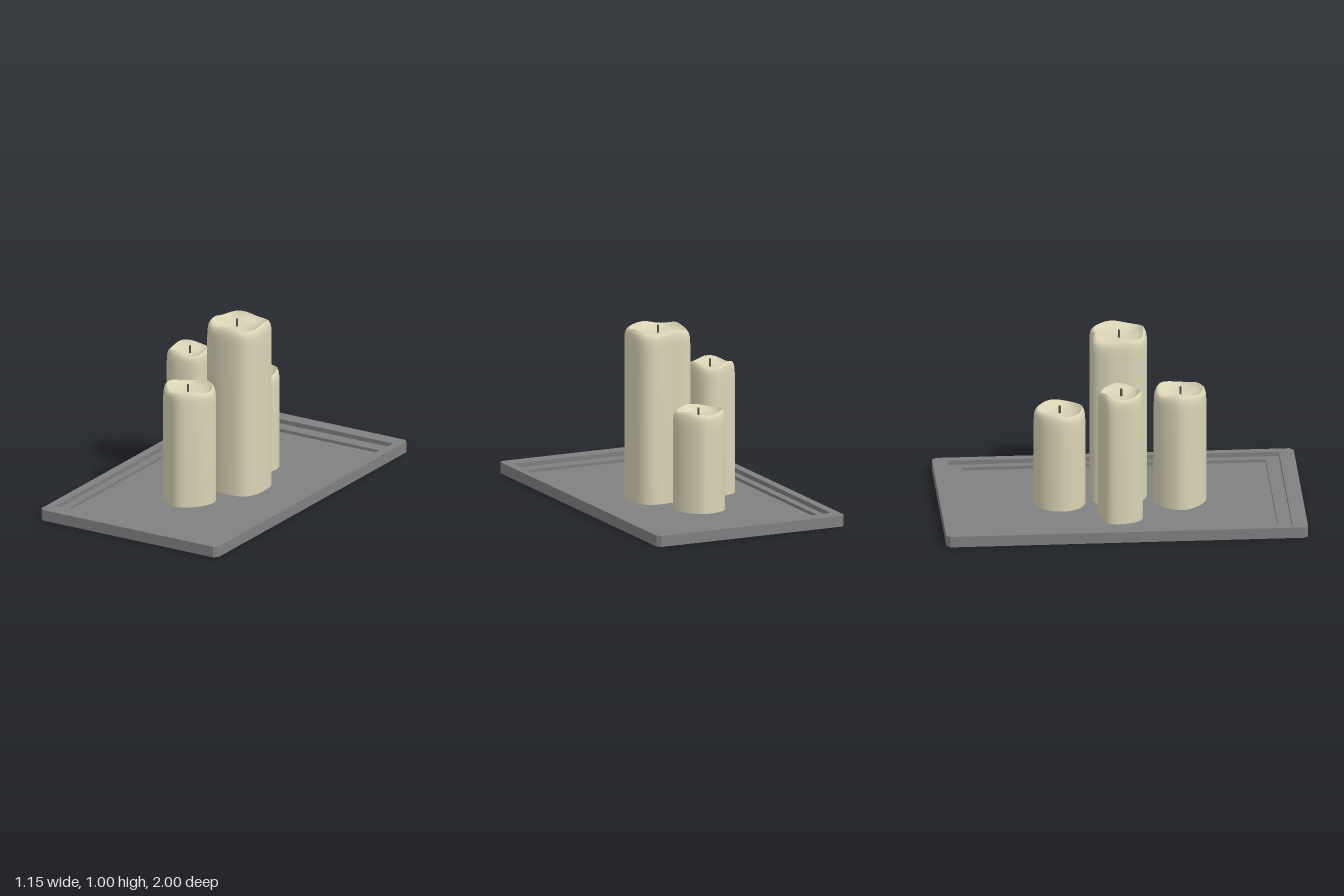
import * as THREE from 'three';
import { toCreasedNormals } from 'three/addons/utils/BufferGeometryUtils.js';

const FLOOR = 0.02; // height of the tray's inner panel

// Skins a stack of closed loops (arrays of Vector3, all the same length)
function loft(loops) {
  const n = loops[0].length;
  const index = [];
  for (let i = 0; i < loops.length - 1; i++) {
    for (let j = 0; j < n; j++) {
      const k = (j + 1) % n;
      const a = i * n + j, b = i * n + k, c = a + n, d = b + n;
      index.push(a, c, b, b, c, d);
    }
  }
  const geometry = new THREE.BufferGeometry().setFromPoints(loops.flat());
  geometry.setIndex(index);
  return geometry;
}

// Rectangle of half size w x d with cut corners c, at height y
function rectLoop([w, d, c, y]) {
  return [
    [w, -d + c], [w, d - c], [w - c, d], [-w + c, d],
    [-w, d - c], [-w, -d + c], [-w + c, -d], [w - c, -d],
  ].map(([x, z]) => new THREE.Vector3(x, y, z));
}

function createTray() {
  // Underside, outer wall, rim, ledge, inner panel
  const geometry = loft([
    [0, 0, 0, 0],
    [0.575, 1, 0.022, 0],
    [0.575, 1, 0.022, 0.062],
    [0.528, 0.915, 0, 0.062],
    [0.528, 0.915, 0, 0.037],
    [0.485, 0.84, 0, 0.037],
    [0.485, 0.84, 0, FLOOR],
    [0, 0, 0, FLOOR],
  ].map(rectLoop));
  const tray = new THREE.Mesh(
    toCreasedNormals(geometry, 0.3),
    new THREE.MeshStandardMaterial({ color: 0x808080 }),
  );
  tray.name = 'tray';
  return tray;
}

// Side, rounded shoulder, rim and melted bowl: [scale, offset from top, share of rim wave]
const PROFILE = [
  [1, -0.09, 0], [0.99, -0.05, 0.2], [0.965, -0.025, 0.5], [0.92, -0.008, 0.8],
  [0.86, 0, 1], [0.81, -0.008, 0.9], [0.68, -0.023, 0.5], [0.4, -0.034, 0.1], [0, -0.038, 0],
];

const CANDLES = [
  {
    name: 'tallCandle', center: [0.085, 0], top: 0.992, lobes: 4, phase: 0.9, dip: 0.016,
    outline: [[-0.03, -0.15], [0.085, -0.155], [0.2, -0.15], [0.25, -0.09], [0.25, 0.085],
      [0.2, 0.145], [0.02, 0.145], [-0.053, 0.09], [-0.07, 0], [-0.065, -0.085]],
  },
  {
    name: 'leftCandle', center: [-0.228, -0.01], top: 0.77, lobes: 3, phase: 0.5, dip: 0.02,
    outline: [[-0.344, -0.085], [-0.275, -0.122], [-0.2, -0.137], [-0.143, -0.105], [-0.11, 0],
      [-0.132, 0.074], [-0.24, 0.11], [-0.317, 0.085], [-0.354, -0.01]],
  },
  {
    name: 'frontCandle', center: [-0.027, 0.333], top: 0.69, lobes: 3, phase: 3.1, dip: 0.018,
    outline: [[-0.02, 0.185], [0.063, 0.21], [0.116, 0.27], [0.122, 0.34], [0.063, 0.434],
      [-0.005, 0.476], [-0.09, 0.45], [-0.164, 0.37], [-0.172, 0.31], [-0.1, 0.206]],
  },
  {
    name: 'backCandle', center: [0, -0.333], top: 0.585, lobes: 3, phase: 1.6, dip: 0.014,
    outline: [[-0.074, -0.46], [0.03, -0.474], [0.1, -0.418], [0.14, -0.328], [0.116, -0.254],
      [0, -0.193], [-0.1, -0.222], [-0.15, -0.312], [-0.127, -0.407]],
  },
];

function createCandle({ name, center, top, lobes, phase, dip, outline }) {
  const [cx, cz] = center;
  const curve = new THREE.CatmullRomCurve3(
    outline.map(([x, z]) => new THREE.Vector3(x - cx, 0, z - cz)), true);
  const ring = curve.getSpacedPoints(64).slice(0, -1);

  // The rim sags between a few high points
  const sag = (p) => dip * 0.5 * (Math.cos(lobes * Math.atan2(p.z, p.x) + phase) - 1);
  const foot = [0, 1].map((s) => ring.map((p) => new THREE.Vector3(p.x * s, FLOOR, p.z * s)));
  const body = PROFILE.map(([s, dy, wave]) => ring.map(
    (p) => new THREE.Vector3(p.x * s, top + dy + wave * sag(p), p.z * s)));

  const wax = new THREE.Mesh(
    toCreasedNormals(loft([...foot, ...body]), 0.7),
    new THREE.MeshStandardMaterial({ color: 0xd9d3b5 }),
  );
  wax.name = 'wax';

  const wick = new THREE.Mesh(
    new THREE.CylinderGeometry(0.006, 0.006, 0.05, 10),
    new THREE.MeshStandardMaterial({ color: 0x5a564c }),
  );
  wick.name = 'wick';
  wick.position.y = top - 0.02;

  const candle = new THREE.Group();
  candle.name = name;
  candle.position.set(cx, 0, cz);
  candle.add(wax, wick);
  return candle;
}

export function createModel() {
  const model = new THREE.Group();
  model.name = 'candleTray';
  model.add(createTray(), ...CANDLES.map(createCandle));
  return model;
}
